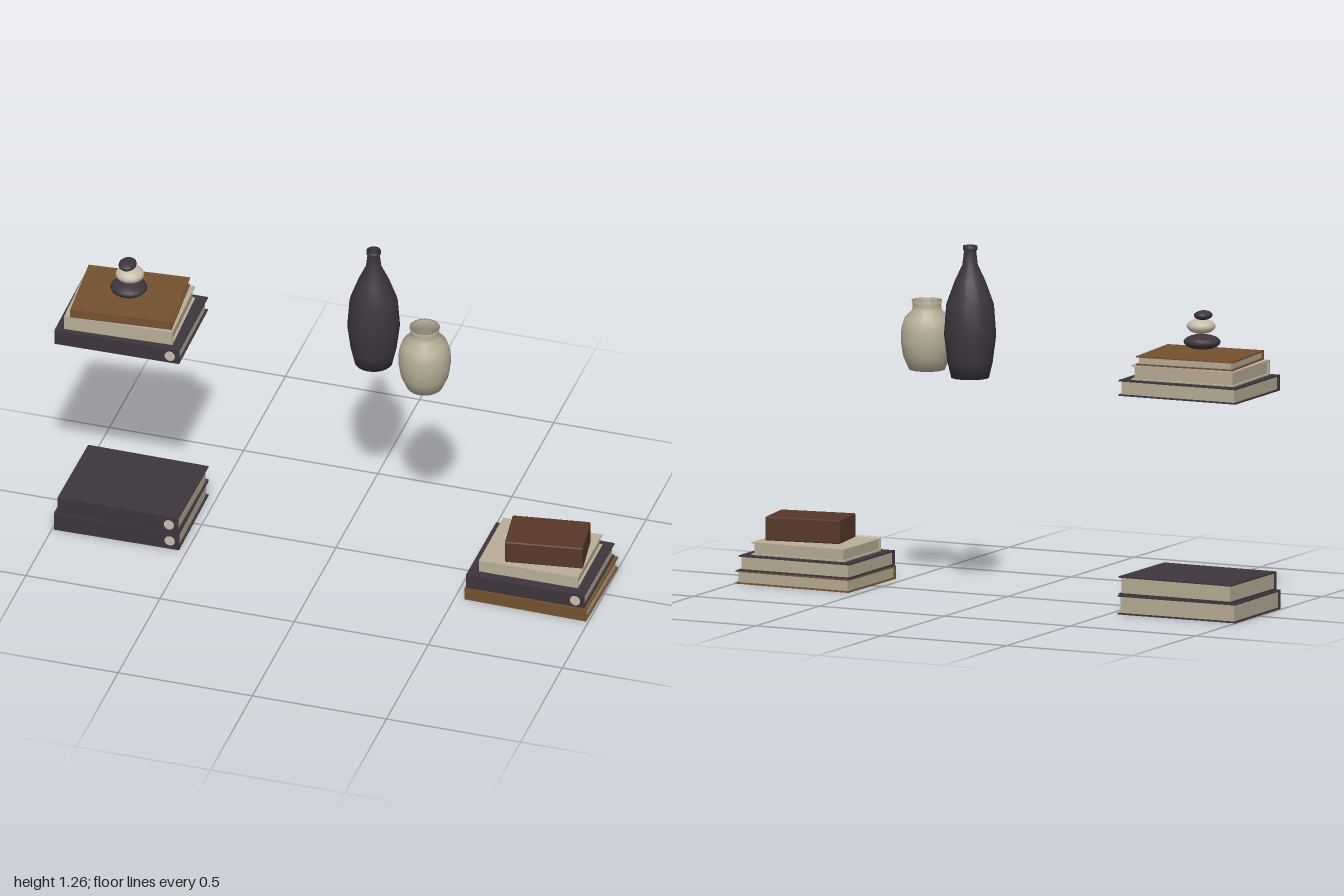
import * as THREE from 'three';
import { RoundedBoxGeometry } from 'three/addons/geometries/RoundedBoxGeometry.js';

const mat = (name, color) => {
  const m = new THREE.MeshStandardMaterial({ color });
  m.name = name;
  return m;
};

export function createModel() {
  const root = new THREE.Group();
  root.name = 'shelfDecor';

  const charcoal = mat('charcoal', 0x3d363d);
  const cream = mat('cream', 0xb8ae98);
  const paper = mat('paper', 0xb5aa93);
  const tan = mat('tan', 0x75512f);
  const chestnut = mat('chestnut', 0x573829);
  const paleStone = mat('paleStone', 0xc8bdab);

  const add = (parent, name, geometry, material, x = 0, y = 0, z = 0) => {
    const m = new THREE.Mesh(geometry, material);
    m.name = name;
    m.position.set(x, y, z);
    parent.add(m);
    return m;
  };
  const box = (w, h, d) => new THREE.BoxGeometry(w, h, d);

  // Closed book lying flat: two boards, a spine on +z, inset pages, optional spine dot
  const book = (parent, name, { x, z, y0, y1, w, d, turn = 0, cover, dot = false }) => {
    const g = new THREE.Group();
    g.name = name;
    g.position.set(x, y0, z);
    g.rotation.y = turn;
    const h = y1 - y0, t = 0.005, inset = 0.008;
    add(g, 'bottomBoard', box(w, t, d), cover, 0, t / 2, 0);
    add(g, 'topBoard', box(w, t, d), cover, 0, h - t / 2, 0);
    add(g, 'spine', box(w, h - 2 * t, t), cover, 0, h / 2, d / 2 - t / 2);
    add(g, 'pages', box(w - 2 * inset, h - 2 * t, d - t - inset), paper, 0, h / 2, (inset - t) / 2);
    if (dot) {
      const disc = new THREE.CylinderGeometry(0.019, 0.019, 0.003, 16).rotateX(Math.PI / 2);
      add(g, 'spineDot', disc, paleStone, w / 2 - 0.034, h / 2, d / 2 + 0.001);
    }
    parent.add(g);
  };

  const stack = (name) => {
    const g = new THREE.Group();
    g.name = name;
    root.add(g);
    return g;
  };

  // Lower stack on the model's right: two dark volumes
  const low = stack('lowerRightStack');
  book(low, 'lowerBook', { x: -0.763, z: 0, y0: 0, y1: 0.069, w: 0.465, d: 0.37, turn: 0.012, cover: charcoal, dot: true });
  book(low, 'upperBook', { x: -0.755, z: 0.003, y0: 0.069, y1: 0.135, w: 0.45, d: 0.355, turn: -0.008, cover: charcoal, dot: true });

  // Upper stack on the model's right, topped with balanced pebbles
  const high = stack('upperRightStack');
  book(high, 'darkBook', { x: -0.765, z: -0.005, y0: 0.788, y1: 0.845, w: 0.463, d: 0.362, turn: 0.014, cover: charcoal, dot: true });
  book(high, 'creamBook', { x: -0.77, z: -0.003, y0: 0.845, y1: 0.899, w: 0.4, d: 0.31, turn: 0.04, cover: cream });
  book(high, 'tanBook', { x: -0.768, z: -0.003, y0: 0.899, y1: 0.932, w: 0.37, d: 0.297, turn: 0.08, cover: tan });

  const pebble = (name, material, x, y, z, rx, ry, rz) => {
    add(high, name, new THREE.SphereGeometry(1, 16, 10), material, x, y, z).scale.set(rx, ry, rz);
  };
  pebble('largePebble', charcoal, -0.768, 0.971, 0.013, 0.067, 0.027, 0.064);
  pebble('middlePebble', paleStone, -0.764, 1.027, 0.013, 0.052, 0.027, 0.05);
  pebble('smallPebble', charcoal, -0.772, 1.067, 0.014, 0.032, 0.017, 0.04);

  // Lower stack on the model's left with a chestnut box on top
  const left = stack('leftStack');
  book(left, 'tanBook', { x: 0.767, z: 0.003, y0: 0, y1: 0.048, w: 0.455, d: 0.365, turn: -0.018, cover: tan });
  book(left, 'darkBook', { x: 0.762, z: 0.001, y0: 0.048, y1: 0.103, w: 0.442, d: 0.356, turn: -0.006, cover: charcoal, dot: true });
  book(left, 'creamBook', { x: 0.762, z: -0.003, y0: 0.103, y1: 0.149, w: 0.37, d: 0.29, cover: cream });
  add(left, 'chestnutBox', new RoundedBoxGeometry(0.282, 0.086, 0.178, 1, 0.005), chestnut, 0.795, 0.192, 0.017)
    .rotation.y = 0.145;

  // Vases: outer profile from base to lip, then down the hollow neck
  const vase = (name, material, x, z, profile) => {
    const pts = profile.map(([r, y]) => new THREE.Vector2(r, y));
    add(root, name, new THREE.LatheGeometry(pts, 20), material, x, 0.788, z);
  };
  vase('tallVase', charcoal, 0.125, -0.05, [
    [0, 0], [0.068, 0], [0.082, 0.06], [0.094, 0.155], [0.086, 0.262], [0.056, 0.345],
    [0.028, 0.405], [0.022, 0.455], [0.026, 0.462], [0.026, 0.474], [0.018, 0.474], [0.016, 0.42], [0, 0.4],
  ]);
  vase('jarVase', cream, 0.345, 0.045, [
    [0, 0], [0.064, 0], [0.086, 0.05], [0.094, 0.1], [0.092, 0.15], [0.08, 0.185],
    [0.054, 0.213], [0.051, 0.235], [0.055, 0.25], [0.047, 0.25], [0.045, 0.212], [0.07, 0.18], [0.078, 0.1], [0, 0.03],
  ]);

  return root;
}
